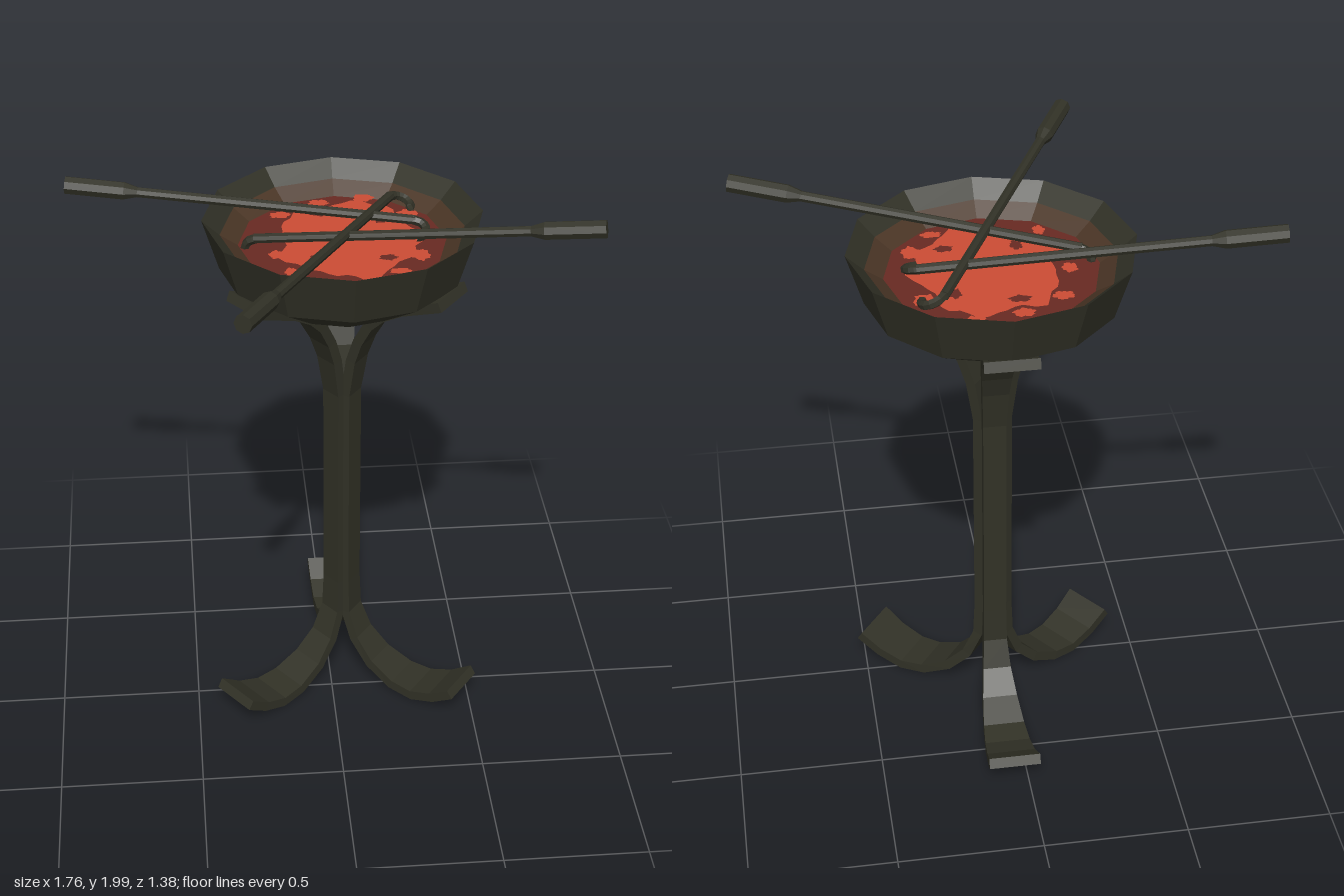
import * as THREE from 'three';

const flat = (name, color) => new THREE.MeshStandardMaterial({ name, color, flatShading: true, side: THREE.DoubleSide });
const V = (x, y, z) => new THREE.Vector3(x, y, z);

// Curved flat bar in the z-y plane: rows of [radius, height, half width]
function ribbon(rows, t) {
  const pos = [], idx = [], n = rows.length;
  rows.forEach(([r, y, w], i) => {
    const a = rows[Math.max(i - 1, 0)], b = rows[Math.min(i + 1, n - 1)];
    const d = new THREE.Vector2(b[0] - a[0], b[1] - a[1]).normalize();
    const nz = d.y * t, ny = -d.x * t;
    pos.push(-w, y + ny, r + nz, w, y + ny, r + nz, w, y - ny, r - nz, -w, y - ny, r - nz);
    if (i === n - 1) return;
    for (let k = 0; k < 4; k++) {
      const p = i * 4 + k, q = i * 4 + (k + 1) % 4;
      idx.push(p, q, q + 4, p, q + 4, p + 4);
    }
  });
  const e = (n - 1) * 4;
  idx.push(0, 3, 2, 0, 2, 1, e, e + 1, e + 2, e, e + 2, e + 3);
  const g = new THREE.BufferGeometry();
  g.setAttribute('position', new THREE.Float32BufferAttribute(pos, 3));
  g.setIndex(idx);
  g.computeVertexNormals();
  return g;
}

// Wobbly closed outline for glowing patches, in x and z
function blob(cx, cz, rx, rz, wobble, seed) {
  const pts = [];
  for (let i = 0; i < 48; i++) {
    const a = i / 48 * Math.PI * 2;
    const k = 1 + wobble * (Math.sin(5 * a + seed) + 0.7 * Math.sin(9 * a + seed * 2.3) + 0.5 * Math.sin(14 * a + seed));
    pts.push(new THREE.Vector2(cx + Math.cos(a) * rx * k, -(cz + Math.sin(a) * rz * k)));
  }
  return pts;
}

export function createModel() {
  const iron = flat('darkIron', 0x313126);
  const warm = flat('warmedIron', 0x4a3525);
  const ember = flat('darkEmber', 0x682a22);
  const glow = flat('glowingCoal', 0xcc4c34);

  const root = new THREE.Group();
  root.name = 'brazier';
  const add = (name, geo, mat, parent) => {
    const m = new THREE.Mesh(geo, mat);
    m.name = name;
    parent.add(m);
    return m;
  };

  // Stand and bowl share one off-centre axis
  const body = new THREE.Group();
  body.name = 'stand';
  body.position.set(0.05, 0, -0.16);
  root.add(body);

  const lathe = (pts) => new THREE.LatheGeometry(pts.map(p => new THREE.Vector2(...p)), 12);
  add('bowlOuter', lathe([[0.05, 1.525], [0.24, 1.575], [0.42, 1.69], [0.475, 1.87]]), iron, body);
  add('bowlInnerRim', lathe([[0.415, 1.815], [0.475, 1.87]]), iron, body);
  add('bowlInnerWall', lathe([[0.355, 1.775], [0.415, 1.815]]), warm, body);
  add('emberBed', lathe([[0, 1.78], [0.356, 1.775]]), ember, body);
  add('bottomEmber', lathe([[0, 1.518], [0.05, 1.525]]), ember, body);

  // Glowing coal patches with a few dark gaps
  const main = new THREE.Shape(blob(0.02, 0.0, 0.235, 0.285, 0.07, 1));
  [[-0.06, -0.2, 0.035, 0.02], [0.14, 0.15, 0.03, 0.02], [-0.1, 0.14, 0.02, 0.03], [0.14, -0.14, 0.02, 0.03]]
    .forEach((h, i) => main.holes.push(new THREE.Path(blob(...h, 0.12, i))));
  const specks = [[-0.06, -0.285, 0.035, 0.025], [0.1, -0.315, 0.035, 0.03], [-0.2, -0.2, 0.035, 0.025],
    [0.24, -0.17, 0.035, 0.04], [-0.23, 0.1, 0.025, 0.03], [-0.19, 0.23, 0.02, 0.03], [0.25, 0.14, 0.03, 0.04],
    [0.17, 0.25, 0.035, 0.02], [-0.25, -0.03, 0.025, 0.03]]
    .map((s, i) => new THREE.Shape(blob(...s, 0.1, i)));
  const coals = new THREE.ShapeGeometry([main, ...specks]).rotateX(-Math.PI / 2);
  add('glowingCoals', coals, glow, body).position.y = 1.784;

  // Three bent flat-bar legs, from foot tip to bowl support
  const legRows = [[0.52, 0.1, 0.09], [0.44, 0.05, 0.085], [0.35, 0.021, 0.08], [0.26, 0.03, 0.073],
    [0.16, 0.08, 0.062], [0.085, 0.16, 0.05], [0.042, 0.265, 0.042], [0.036, 0.4, 0.04], [0.036, 1.2, 0.04],
    [0.06, 1.345, 0.045], [0.09, 1.43, 0.05], [0.135, 1.51, 0.057], [0.19, 1.565, 0.065],
    [0.27, 1.615, 0.075], [0.43, 1.682, 0.09]];
  const legGeo = ribbon(legRows, 0.018);
  [['backLeg', Math.PI], ['leftLeg', 0.93], ['rightLeg', -0.93]].forEach(([name, angle]) => {
    add(name, legGeo, iron, body).rotation.y = angle;
  });

  // Pokers: handle at a, hooked tip at b; local x runs along the rod, hook turns toward local z
  function poker(name, a, b, roll) {
    const g = new THREE.Group();
    g.name = name;
    const dir = b.clone().sub(a), len = dir.length();
    dir.normalize();
    const side = dir.clone().cross(V(0, 1, 0)).normalize();
    const up = side.clone().cross(dir);
    g.quaternion.setFromRotationMatrix(new THREE.Matrix4().makeBasis(dir, up, side));
    g.position.copy(a);
    const bar = (part, r0, r1, x0, x1) => add(part, new THREE.CylinderGeometry(r1, r0, x1 - x0, 8)
      .rotateZ(-Math.PI / 2).translate((x0 + x1) / 2, 0, 0), iron, g);
    bar('handle', 0.031, 0.031, 0, 0.2);
    bar('handleTaper', 0.031, 0.018, 0.2, 0.245);
    bar('rod', 0.018, 0.017, 0.245, len);
    const curve = new THREE.CatmullRomCurve3([V(len - 0.01, 0, 0), V(len + 0.025, 0, 0.012),
      V(len + 0.04, 0, 0.042), V(len + 0.025, 0, 0.072), V(len + 0.005, 0, 0.08)]);
    const hook = add('hook', new THREE.TubeGeometry(curve, 8, 0.016, 6), iron, g);
    hook.rotation.x = roll;
    root.add(g);
  }
  poker('rightPoker', V(-0.877, 1.935, -0.34), V(0.3, 1.825, -0.2), 0.4);
  poker('leftPoker', V(0.87, 1.967, 0.21), V(-0.25, 1.815, -0.125), 1.4);
  poker('frontPoker', V(-0.325, 1.93, 0.68), V(0.235, 1.83, -0.385), 0.4);
  return root;
}
